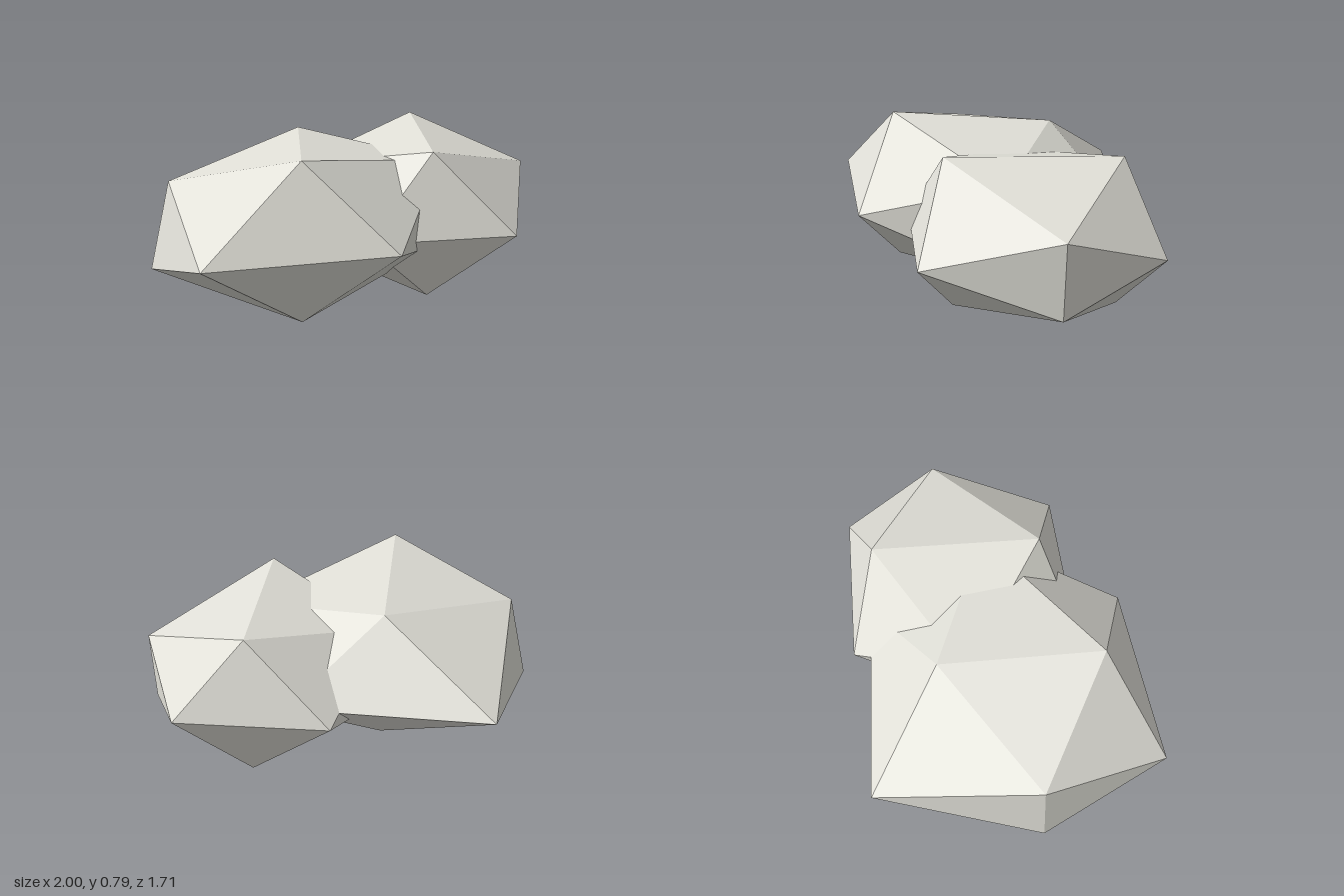
import * as THREE from 'three';

const stone = new THREE.MeshStandardMaterial({ color: 0xe1e0d8 });
stone.name = 'pale stone grey';

// A faceted boulder: front tip, two staggered five-point rings (counter-clockwise from +z), back tip
function makeBoulder(name, frontTip, frontRing, backRing, backTip) {
  const positions = [];
  const face = (...corners) => corners.forEach((c) => positions.push(...c));
  for (let k = 0; k < 5; k++) {
    const n = (k + 1) % 5;
    face(frontTip, frontRing[k], frontRing[n]);
    face(frontRing[k], backRing[k], frontRing[n]);
    face(backRing[k], backRing[n], frontRing[n]);
    face(backTip, backRing[n], backRing[k]);
  }
  // Unshared corners keep every facet flat
  const geometry = new THREE.BufferGeometry();
  geometry.setAttribute('position', new THREE.Float32BufferAttribute(positions, 3));
  geometry.computeVertexNormals();
  const mesh = new THREE.Mesh(geometry, stone);
  mesh.name = name;
  return mesh;
}

export function createModel() {
  const group = new THREE.Group();
  group.name = 'rocks';

  // Larger rock, set back on the -x side
  group.add(makeBoulder(
    'largeRock',
    [-0.23, 0.395, 0.752],
    [[-1, 0.395, 0.355], [-0.48, 0.015, 0.37], [0.39, 0.17, 0.36], [0.39, 0.62, 0.36], [-0.48, 0.785, 0.375]],
    [[-0.87, 0.165, -0.3], [0, 0.07, -0.25], [0.53, 0.395, -0.26], [-0.01, 0.73, -0.255], [-0.78, 0.6, -0.25]],
    [-0.23, 0.395, -0.855],
  ));

  // Smaller rock, pushed into the larger one from the +x side
  group.add(makeBoulder(
    'smallRock',
    [0.41, 0.36, 0.855],
    [[-0.2, 0.36, 0.49], [0.18, 0.007, 0.51], [0.89, 0.187, 0.46], [0.9, 0.54, 0.455], [0.165, 0.74, 0.535]],
    [[-0.08, 0.15, -0.12], [0.64, 0, -0.11], [1, 0.36, -0.045], [0.65, 0.73, -0.12], [-0.08, 0.58, -0.135]],
    [0.41, 0.36, -0.47],
  ));

  return group;
}
